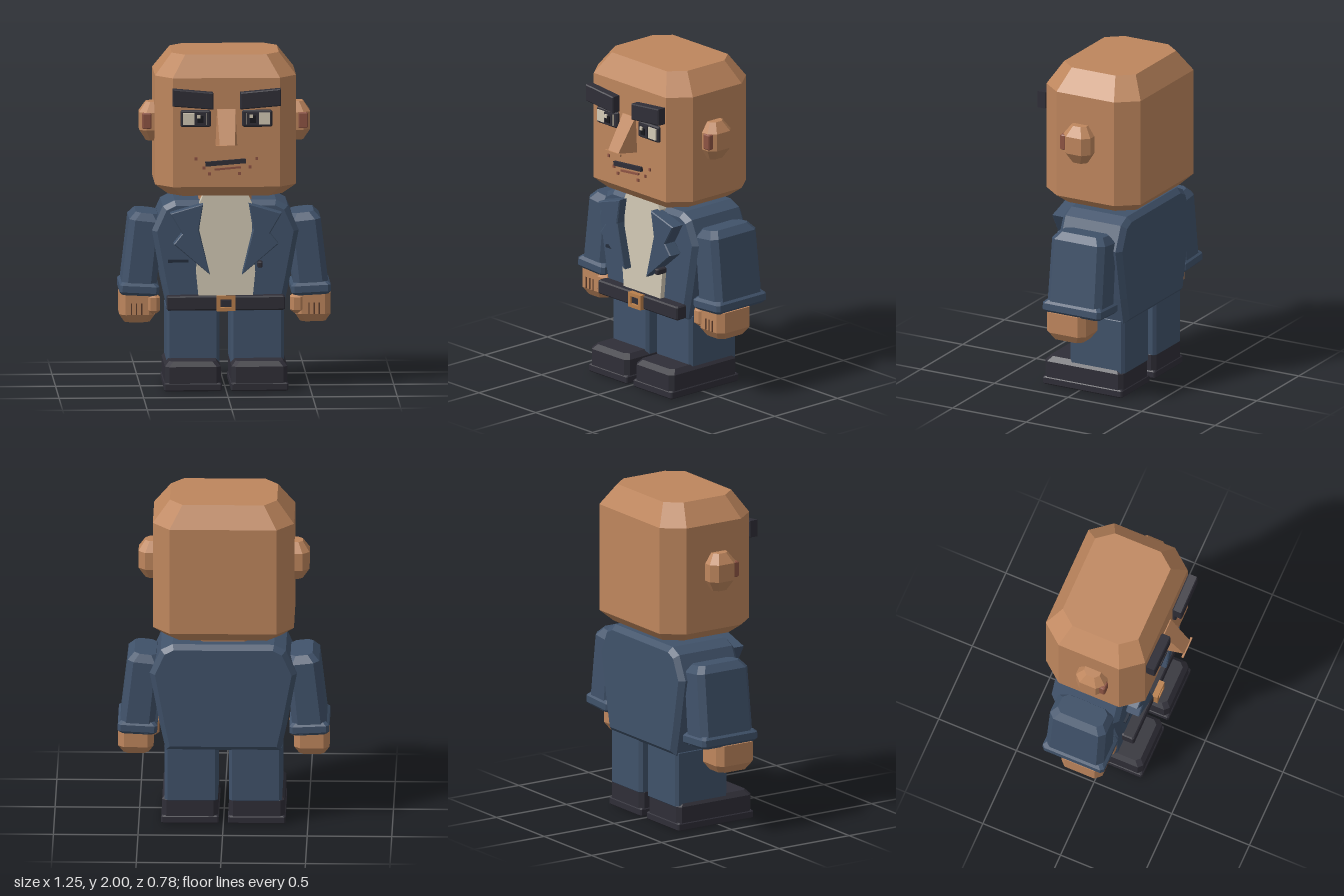
import * as THREE from 'three';

const mat = (name, color) => Object.assign(new THREE.MeshStandardMaterial({ color }), { name });
const M = {
  skin: mat('skin', 0xbe865d),
  denim: mat('jacketBlue', 0x40526a),
  shirt: mat('shirtCream', 0xd3cab6),
  dark: mat('darkLeather', 0x2f2e37),
  black: mat('pupilBlack', 0x18181d),
  lip: mat('redBrown', 0x8e5443),
  brass: mat('buckleBrass', 0xb97f4c),
  crease: mat('creaseBrown', 0x5c3c2c),
  navy: mat('navyTrim', 0x232d3c),
};

// Octagonal cross-sections stacked along y: [y, halfX, halfZ, cutX, cutZ]
function loft(levels) {
  const rings = levels.map(([y, x, z, c, d = c]) => [
    [x, -z + d], [x, z - d], [x - c, z], [-x + c, z],
    [-x, z - d], [-x, -z + d], [-x + c, -z], [x - c, -z],
  ].map(([px, pz]) => new THREE.Vector3(px, y, pz)));
  const pts = [];
  for (let k = 0; k < rings.length - 1; k++) {
    const a = rings[k], b = rings[k + 1];
    for (let i = 0; i < 8; i++) {
      const j = (i + 1) % 8;
      pts.push(a[i], b[i], a[j], a[j], b[i], b[j]);
    }
  }
  const low = rings[0], top = rings[rings.length - 1];
  for (let i = 1; i < 7; i++) pts.push(low[0], low[i], low[i + 1], top[0], top[i + 1], top[i]);
  const g = new THREE.BufferGeometry().setFromPoints(pts);
  g.computeVertexNormals();
  return g;
}

// Block with all edges chamfered by c
const block = (w, h, d, c) => loft([
  [-h / 2, w / 2 - c, d / 2 - c, c], [-h / 2 + c, w / 2, d / 2, c],
  [h / 2 - c, w / 2, d / 2, c], [h / 2, w / 2 - c, d / 2 - c, c],
]);

// Outline in xy extruded from z0 to z1, with an optional bevel kept inside it
function plate(points, z0, z1, bevel = 0) {
  const shape = new THREE.Shape(points.map(([x, y]) => new THREE.Vector2(x, y)));
  const g = new THREE.ExtrudeGeometry(shape, {
    depth: z1 - z0 - 2 * bevel, bevelEnabled: bevel > 0, bevelSegments: 1,
    bevelSize: bevel, bevelThickness: bevel, bevelOffset: -bevel,
  });
  return g.translate(0, 0, z0 + bevel);
}

export function createModel() {
  const root = new THREE.Group();
  root.name = 'blockyMan';
  const add = (name, geo, material, x = 0, y = 0, z = 0, rot = 0) => {
    const m = new THREE.Mesh(geo, material);
    m.name = name;
    m.position.set(x, y, z);
    m.rotation.z = rot;
    root.add(m);
    return m;
  };
  // Box given by its limits
  const box = (name, material, x0, x1, y0, y1, z0, z1, rot = 0) =>
    add(name, new THREE.BoxGeometry(x1 - x0, y1 - y0, z1 - z0), material,
      (x0 + x1) / 2, (y0 + y1) / 2, (z0 + z1) / 2, rot);

  // Head and neck
  const ring = (y, s) => [y, 0.417 * s, 0.32 * s, 0.1 * s, 0.125 * s];
  add('head', loft([ring(1.16, 0.81), ring(1.22, 1), ring(1.87, 1), ring(2, 0.76)]), M.skin, 0, 0, -0.07);
  add('neck', block(0.31, 0.2, 0.32, 0.03), M.skin, 0, 1.15, -0.07);

  // Nose: wedge tapering towards the tip, with a thin rim under it
  const nose = new THREE.BoxGeometry(1, 1, 1).toNonIndexed();
  const p = nose.attributes.position;
  for (let i = 0; i < p.count; i++) {
    const sx = Math.sign(p.getX(i)), up = p.getY(i) > 0, front = p.getZ(i) > 0;
    if (up) p.setXYZ(i, sx * 0.055, 1.685, front ? 0.256 : 0.24);
    else p.setXYZ(i, sx * (front ? 0.045 : 0.066), front ? 1.485 : 1.467, front ? 0.382 : 0.24);
  }
  nose.computeVertexNormals();
  add('nose', nose, M.skin);
  box('noseRim', M.skin, -0.068, 0.068, 1.472, 1.486, 0.376, 0.388);

  // Mouth and stubble
  box('mouth', M.dark, -0.125, 0.115, 1.354, 1.381, 0.24, 0.268, 0.08);
  box('lowerLip', M.lip, -0.07, 0.085, 1.326, 1.338, 0.24, 0.262, 0.09);
  for (const [x, y] of [[-0.18, 1.39], [0.18, 1.39], [-0.133, 1.335], [0.14, 1.34], [-0.1, 1.3], [0.077, 1.3]])
    box('stubble', M.lip, x - 0.008, x + 0.008, y - 0.009, y + 0.009, 0.24, 0.258);

  // Torso
  add('jacket', plate([
    [-0.34, 0.46], [0.34, 0.46], [0.375, 0.62], [0.435, 0.94], [0.37, 1.085], [0.3, 1.12],
    [-0.3, 1.12], [-0.37, 1.085], [-0.435, 0.94], [-0.375, 0.62],
  ], -0.315, 0.12, 0.03), M.denim);
  add('shirt', plate([
    [-0.16, 0.55], [0.16, 0.55], [0.175, 0.7], [0.155, 0.95], [0.155, 1.11], [0.13, 1.165],
    [-0.13, 1.165], [-0.155, 1.11], [-0.155, 0.95], [-0.175, 0.7],
  ], 0.08, 0.152), M.shirt);
  box('pocketSlit', M.navy, -0.34, -0.22, 0.753, 0.77, 0.115, 0.135);
  add('button', block(0.032, 0.036, 0.075, 0.006), M.dark, 0.2, 0.75, 0.185);

  // Belt and buckle
  add('belt', block(0.7, 0.085, 0.08, 0.008), M.dark, 0, 0.517, 0.15);
  const frame = new THREE.Shape([[-0.055, -0.045], [0.055, -0.045], [0.055, 0.045], [-0.055, 0.045]]
    .map(([x, y]) => new THREE.Vector2(x, y)));
  frame.holes.push(new THREE.Path([[-0.033, -0.024], [-0.033, 0.024], [0.033, 0.024], [0.033, -0.024]]
    .map(([x, y]) => new THREE.Vector2(x, y))));
  add('buckle', new THREE.ExtrudeGeometry(frame, { depth: 0.035, bevelEnabled: false }), M.brass, 0, 0.518, 0.18);
  box('bucklePin', M.dark, -0.028, 0.028, 0.5, 0.536, 0.18, 0.208);

  // Mirrored parts: s = 1 is the left side
  for (const s of [1, -1]) {
    // Eye, brow and ear
    add('eyeFrame', block(0.18, 0.1, 0.05, 0.008), M.dark, s * 0.182, 1.63, 0.245);
    box('eyeWhite', M.shirt, s * 0.187 - 0.07, s * 0.187 + 0.07, 1.595, 1.665, 0.25, 0.277);
    box('iris', M.dark, s * 0.155 - 0.035, s * 0.155 + 0.035, 1.593, 1.667, 0.25, 0.285);
    box('pupil', M.black, s * 0.155 - 0.018, s * 0.155 + 0.018, 1.608, 1.65, 0.27, 0.29);
    box('eyeGlint', M.shirt, s * 0.155 - 0.02, s * 0.155, 1.637, 1.657, 0.275, 0.296);
    add('eyebrow', plate([
      [s * 0.08, 1.69], [s * 0.32, 1.71], [s * 0.32, 1.812], [s * 0.08, 1.79],
    ], 0.253, 0.313, 0.006), M.dark);
    add('ear', loft([
      [1.465, 0.045, 0.05, 0.025], [1.53, 0.085, 0.092, 0.04],
      [1.635, 0.085, 0.092, 0.04], [1.695, 0.045, 0.05, 0.025],
    ]), M.skin, s * 0.42, 0, -0.04);
    add('innerEar', block(0.055, 0.095, 0.04, 0.006), M.lip, s * 0.462, 1.588, 0.043);

    // Lapel
    add('lapel', plate([
      [0.135, 1.112], [0.33, 1.055], [0.26, 0.935], [0.31, 0.872], [0.095, 0.69], [0.16, 0.96],
    ].map(([x, y]) => [s * x, y]), 0.12, 0.208, 0.006), M.denim);

    // Sleeve, tilted outwards, and cuff
    add('sleeve', loft([
      [-0.04, 0.103, 0.185, 0.035], [0.395, 0.1, 0.18, 0.035], [0.44, 0.065, 0.145, 0.03],
    ]), M.denim, s * 0.51, 0.6, -0.09, s * 0.11);
    add('cuff', block(0.235, 0.075, 0.395, 0.018), M.denim, s * 0.508, 0.588, -0.087, s * 0.05);

    // Hand, thumb and finger creases
    add('hand', loft([
      [0.388, 0.075, 0.1, 0.03], [0.435, 0.105, 0.132, 0.035], [0.56, 0.105, 0.132, 0.035],
    ]), M.skin, s * 0.52, 0, -0.04);
    add('thumb', block(0.08, 0.12, 0.1, 0.022), M.skin, s * 0.425, 0.5, 0.055);
    for (const x of [0.495, 0.525, 0.555])
      box('fingerCrease', M.crease, s * x - 0.004, s * x + 0.004, 0.437, 0.505, 0.085, 0.096);

    // Leg and shoe
    add('leg', block(0.315, 0.36, 0.37, 0.018), M.denim, s * 0.19, 0.31, -0.105);
    add('shoe', loft([
      [0.04, 0.165, 0.266, 0.025], [0.145, 0.165, 0.266, 0.025], [0.175, 0.14, 0.24, 0.025],
    ]), M.dark, s * 0.197, 0, -0.02);
    add('sole', block(0.34, 0.05, 0.54, 0.008), M.dark, s * 0.197, 0.025, -0.02);
  }
  return root;
}
